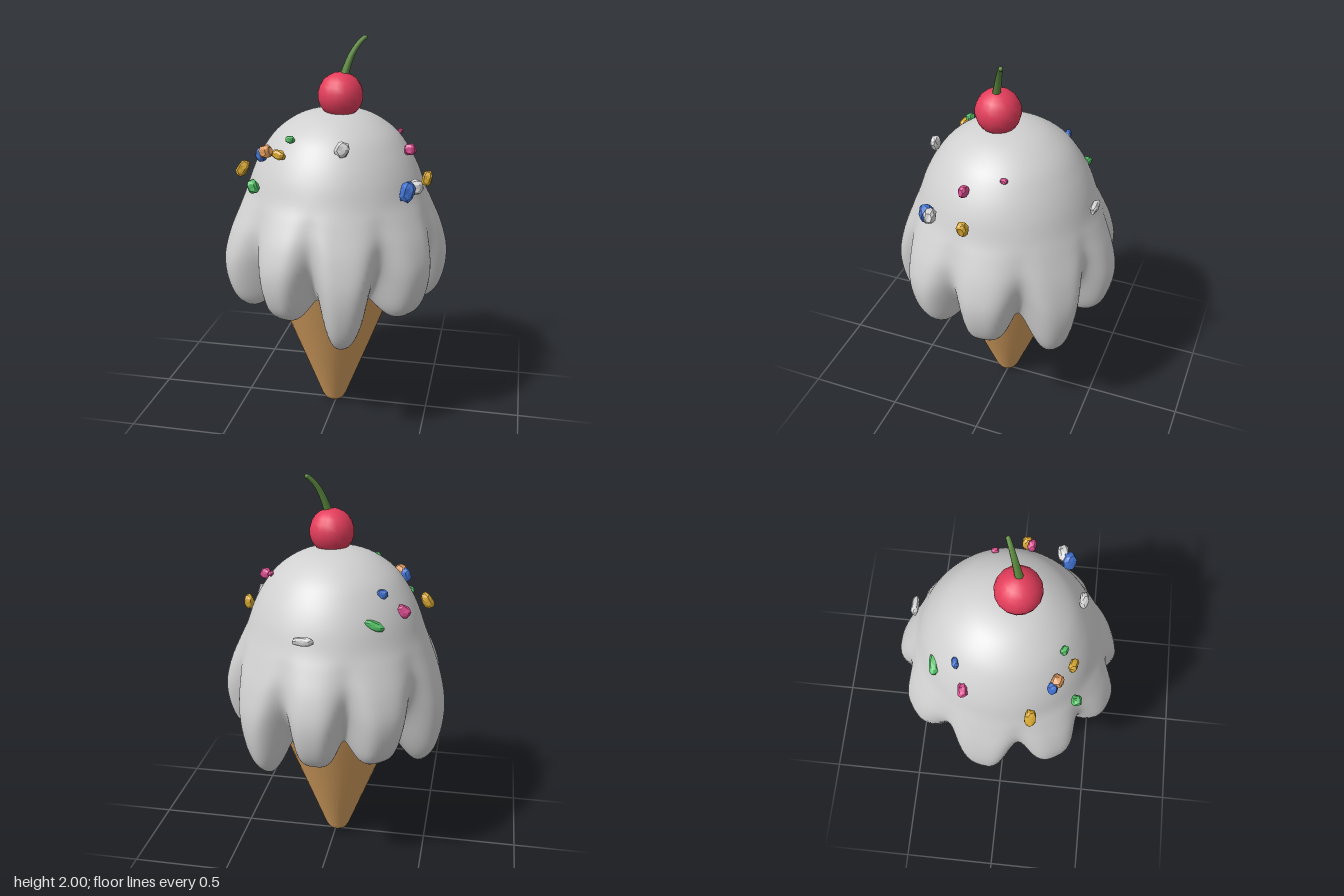
import * as THREE from 'three';

const mat = (name, color, flatShading = false) => {
  const m = new THREE.MeshStandardMaterial({ color, flatShading });
  m.name = name;
  return m;
};

// Lobes of the icing: angle in degrees (from +x towards +z), peak radius, lowest y
const LOBES = [
  [-88, 0.58, 0.65], [-50, 0.565, 0.53], [-6, 0.575, 0.65], [32, 0.58, 0.65], [76, 0.585, 0.53],
  [110, 0.59, 0.66], [149, 0.60, 0.65], [188, 0.585, 0.53], [235, 0.575, 0.65],
];
// Dome profile shared by all angles: radius, y
const DOME = [[0, 1.64], [0.1, 1.632], [0.2, 1.6], [0.3, 1.53], [0.37, 1.44], [0.42, 1.345], [0.458, 1.24]];
// Drip profile: fraction of the way down, radius in a valley, radius on a peak
const DRIP = [
  [0.14, 0.482, 0.498], [0.34, 0.505, 0.55], [0.55, 0.495, 0.58], [0.75, 0.455, 0.57],
  [0.92, 0.405, 0.53], [1, 0.365, 0.46], [0.93, 0.335, 0.385], [0.8, 0.3, 0.32], [0.65, 0.25, 0.25],
];

// Bell between a peak (t = 0) and a valley (t = 1); a higher power gives a broader lobe
const bell = (t, power) => 0.5 + 0.5 * Math.cos(Math.PI * Math.pow(t, power));

// Lobe strength, peak radius and bottom height at an angle
function lobeAt(deg) {
  for (let i = 0; i < LOBES.length; i++) {
    const a = LOBES[i], b = LOBES[(i + 1) % LOBES.length];
    const span = (b[0] - a[0] + 360) % 360;
    const d = (((deg - a[0]) % 360) + 360) % 360;
    if (d >= span) continue;
    const f = d / span, near = f < 0.5 ? a : b;
    const t = f < 0.5 ? 2 * f : 2 - 2 * f;
    const drop = bell(t, near[2] < 0.6 ? 1.25 : 1.8);
    return { w: bell(t, 1.65), peak: near[1], bottom: THREE.MathUtils.lerp(0.745, near[2], drop) };
  }
}

// Icing: one swept profile per angle
function icingGeometry() {
  const around = 216, along = 64, pos = [], index = [];
  for (let i = 0; i < around; i++) {
    const deg = (i / around) * 360, a = THREE.MathUtils.degToRad(deg);
    const { w, peak, bottom } = lobeAt(deg);
    const pts = DOME.map(([r, y]) => new THREE.Vector2(r, y));
    for (const [u, rv, rp] of DRIP) {
      const top = rp * (1 + (peak / 0.58 - 1) * u);
      pts.push(new THREE.Vector2(THREE.MathUtils.lerp(rv, top, w), 1.24 + (bottom - 1.24) * u));
    }
    for (const p of new THREE.SplineCurve(pts).getPoints(along)) pos.push(p.x * Math.cos(a), p.y, p.x * Math.sin(a));
  }
  const row = along + 1;
  for (let i = 0; i < around; i++) {
    for (let j = 0; j < along; j++) {
      const a = i * row + j, b = ((i + 1) % around) * row + j;
      if (j > 0) index.push(a, b, a + 1);
      index.push(b, b + 1, a + 1);
    }
  }
  const g = new THREE.BufferGeometry();
  g.setAttribute('position', new THREE.Float32BufferAttribute(pos, 3));
  g.setIndex(index);
  g.computeVertexNormals();
  // One shared upright normal at the crown
  for (let i = 0; i < around; i++) g.attributes.normal.setXYZ(i * row, 0, 1, 0);
  return g;
}

// Stem: tube that narrows towards its tip
function stemGeometry() {
  const curve = new THREE.CatmullRomCurve3([
    new THREE.Vector3(0.042, 1.79, 0.047), new THREE.Vector3(0.055, 1.84, 0.036),
    new THREE.Vector3(0.08, 1.91, 0.018), new THREE.Vector3(0.11, 1.96, 0), new THREE.Vector3(0.14, 1.992, -0.016),
  ]);
  const segs = 14, sides = 8;
  const g = new THREE.TubeGeometry(curve, segs, 0.024, sides);
  const p = g.attributes.position, v = new THREE.Vector3();
  for (let i = 0; i <= segs; i++) {
    const c = curve.getPointAt(i / segs), k = 1 - 0.52 * Math.pow(i / segs, 0.7);
    for (let j = 0; j <= sides; j++) {
      const n = i * (sides + 1) + j;
      v.fromBufferAttribute(p, n).sub(c).multiplyScalar(k).add(c);
      p.setXYZ(n, v.x, v.y, v.z);
    }
  }
  return g;
}

// Sprinkle shape: a ball pushed outwards towards a box, slightly uneven
function nuggetGeometry() {
  const g = new THREE.IcosahedronGeometry(1, 1);
  const p = g.attributes.position, v = new THREE.Vector3();
  for (let i = 0; i < p.count; i++) {
    v.fromBufferAttribute(p, i);
    const boxy = Math.pow(v.x ** 4 + v.y ** 4 + v.z ** 4, -0.25);
    v.multiplyScalar(boxy * (0.97 + 0.07 * Math.sin(5 * v.x + 3 * v.y + 4 * v.z)));
    p.setXYZ(i, v.x, v.y, v.z);
  }
  g.computeVertexNormals();
  return g;
}

// Sprinkles: colour, position, half sizes, roll, yaw
const SPRINKLES = [
  ['green', [-0.245, 1.36, -0.335], [0.05, 0.02, 0.022], 0.4, 0.1],
  ['blue', [-0.265, 1.48, -0.222], [0.027, 0.023, 0.016], 0, 0.15],
  ['pink', [-0.365, 1.385, -0.18], [0.035, 0.03, 0.024], 0.5, 0.1],
  ['white', [0.07, 1.31, -0.473], [0.05, 0.021, 0.018], 0, 0],
  ['pink', [0.312, 1.515, -0.097], [0.014, 0.012, 0.018], 0, 0],
  ['pink', [0.384, 1.462, 0.077], [0.028, 0.028, 0.021], 0.2, -0.2],
  ['yellow', [0.472, 1.312, 0.05], [0.024, 0.038, 0.027], -0.2, 0],
  ['white', [0.43, 1.315, 0.237], [0.042, 0.035, 0.028], 0.3, 0.25],
  ['blue', [0.4, 1.3, 0.27], [0.033, 0.05, 0.034], -0.25, 0.3],
  ['white', [0.098, 1.51, 0.35], [0.032, 0.037, 0.021], -0.5, 0],
  ['green', [-0.172, 1.53, 0.278], [0.023, 0.017, 0.017], 0, -0.4],
  ['yellow', [-0.217, 1.465, 0.328], [0.034, 0.022, 0.02], -0.2, -0.3],
  ['orange', [-0.3, 1.46, 0.26], [0.032, 0.031, 0.028], 0.3, -0.4],
  ['blue', [-0.327, 1.443, 0.242], [0.028, 0.036, 0.024], -0.3, -0.4],
  ['green', [-0.338, 1.31, 0.362], [0.026, 0.034, 0.025], 0.4, 0],
  ['yellow', [-0.455, 1.34, 0.15], [0.026, 0.044, 0.027], -0.55, 0],
];

export function createModel() {
  const model = new THREE.Group();
  const add = (name, geometry, material) => {
    const mesh = new THREE.Mesh(geometry, material);
    mesh.name = name;
    model.add(mesh);
    return mesh;
  };

  // Wafer cone with a rounded tip
  const profile = [[0, 0], [0.03, 0.004], [0.05, 0.018], [0.066, 0.045], [0.2, 0.385], [0.325, 0.71], [0.36, 0.82]]
    .map(([r, y]) => new THREE.Vector2(r, y));
  add('cone', new THREE.LatheGeometry(profile, 40), mat('wafer', 0xd6a060)).position.set(-0.01, 0, 0.01);

  add('icing', icingGeometry(), mat('icing', 0xd0d0d0));

  // Cherry and its stem
  add('cherry', new THREE.SphereGeometry(0.114, 16, 11), mat('cherry red', 0xe43d5b)).position.set(0.028, 1.712, 0.042);
  const stemMat = mat('stem green', 0x5c8a3e);
  add('stem', stemGeometry(), stemMat);
  add('stemTip', new THREE.SphereGeometry(0.0115, 8, 6), stemMat).position.set(0.14, 1.9885, -0.016);

  // Chunky sprinkles
  const colors = {
    green: mat('sprinkle green', 0x52c266, true), blue: mat('sprinkle blue', 0x4072d0, true),
    pink: mat('sprinkle pink', 0xdb4c90, true), white: mat('sprinkle white', 0xd6d6d6, true),
    yellow: mat('sprinkle yellow', 0xd8a832, true), orange: mat('sprinkle orange', 0xda965a, true),
  };
  const nugget = nuggetGeometry();
  for (const [color, at, size, roll, yaw] of SPRINKLES) {
    const s = add('sprinkle', nugget, colors[color]);
    s.position.set(...at);
    s.scale.set(...size);
    s.rotation.set(0, yaw, roll);
  }
  return model;
}
